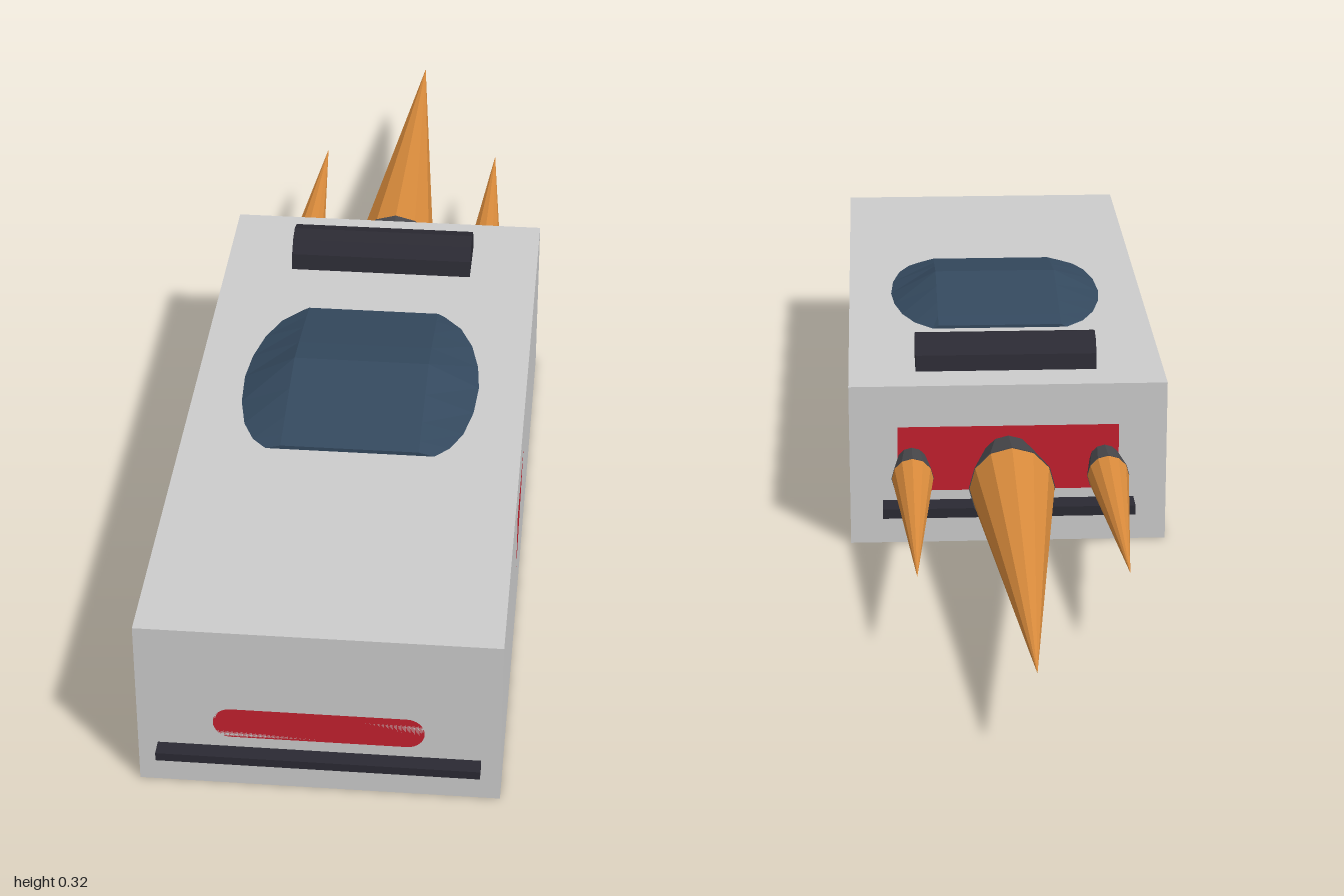
import * as THREE from 'three';

const mat = (name, color) => {
  const m = new THREE.MeshStandardMaterial({ color });
  m.name = name;
  return m;
};

export function createModel() {
  const red = mat('red', 0xc4202e);
  const grey = mat('light grey', 0xcccccc);
  const glass = mat('dark blue glass', 0x34495e);
  const dark = mat('charcoal', 0x2b2a33);
  const metal = mat('nozzle grey', 0x47474b);
  const orange = mat('flame orange', 0xd98b3c);
  const model = new THREE.Group();

  const add = (name, geo, material, x = 0, y = 0, z = 0, parent = model) => {
    const mesh = new THREE.Mesh(geo, material);
    mesh.name = name;
    mesh.position.set(x, y, z);
    parent.add(mesh);
    return mesh;
  };
  const flat = (geo) => {
    const g = geo.index ? geo.toNonIndexed() : geo;
    g.computeVertexNormals();
    return g;
  };

  // Flush red panels, level with the hull faces
  const strip = new THREE.Shape();
  strip.absarc(0.125, 0, 0.025, -Math.PI / 2, Math.PI / 2);
  strip.absarc(-0.125, 0, 0.025, Math.PI / 2, Math.PI * 1.5);
  add('frontPanel', new THREE.ShapeGeometry(strip, 8), red, 0, 0.11, 0.975);
  add('sidePanel', new THREE.PlaneGeometry(0.28, 0.115), red, 0.258, 0.137, 0.42).rotation.y = Math.PI / 2;
  add('rearPanel', new THREE.PlaneGeometry(0.36, 0.11), red, 0, 0.145, -0.175).rotation.y = Math.PI;

  // Hull and the two bumper bars
  add('hull', new THREE.BoxGeometry(0.516, 0.27, 1.15), grey, 0, 0.135, 0.4);
  add('frontBumper', new THREE.BoxGeometry(0.46, 0.013, 0.035), dark, 0, 0.0615, 0.9825);
  add('rearBumper', new THREE.BoxGeometry(0.41, 0.016, 0.05), dark, 0, 0.066, -0.192);

  // Half-sunk roll bar across the roof
  const bar = new THREE.CylinderGeometry(0.05, 0.05, 0.297, 12).rotateZ(Math.PI / 2);
  add('roofBar', flat(bar), dark, 0, 0.27, -0.052);

  // Faceted canopy: cross-sections [z, half width at the base, top height]
  const rows = [
    [0.125, 0.115, 0.275], [0.16, 0.145, 0.282], [0.21, 0.166, 0.291], [0.27, 0.179, 0.301],
    [0.33, 0.184, 0.31], [0.4, 0.18, 0.299], [0.46, 0.168, 0.288], [0.5, 0.15, 0.281], [0.523, 0.128, 0.276],
  ];
  const pos = [];
  const index = [];
  rows.forEach(([z, base, top]) => {
    pos.push(-base, 0.27, z, -0.105, top, z, 0.105, top, z, base, 0.27, z);
  });
  for (let r = 0; r < rows.length - 1; r++) {
    for (let c = 0; c < 3; c++) {
      const a = r * 4 + c;
      index.push(a, a + 4, a + 1, a + 1, a + 4, a + 5);
    }
  }
  const e = (rows.length - 1) * 4;
  index.push(0, 1, 2, 0, 2, 3, e, e + 2, e + 1, e, e + 3, e + 2);
  const canopy = new THREE.BufferGeometry();
  canopy.setAttribute('position', new THREE.Float32BufferAttribute(pos, 3));
  canopy.setIndex(index);
  add('canopy', flat(canopy), glass);

  // Thrusters: flared nozzle with a long flame pointing backwards
  const thruster = (name, x, r0, r1, zEnd, zTip) => {
    const group = new THREE.Group();
    group.name = name;
    group.position.set(x, 0.14, 0);
    model.add(group);
    const zStart = -0.17;
    const nozzle = new THREE.CylinderGeometry(r1, r0, zStart - zEnd, 12).rotateX(-Math.PI / 2);
    add('nozzle', flat(nozzle), metal, 0, 0, (zStart + zEnd) / 2, group);
    const flame = new THREE.ConeGeometry(r1 * 0.98, zEnd - zTip, 12).rotateX(-Math.PI / 2);
    add('flame', flat(flame), orange, 0, 0, (zEnd + zTip) / 2, group);
  };
  thruster('mainThruster', 0, 0.042, 0.069, -0.3, -1);
  for (const s of [-1, 1]) thruster(s > 0 ? 'leftThruster' : 'rightThruster', s * 0.157, 0.024, 0.034, -0.25, -0.655);

  return model;
}
